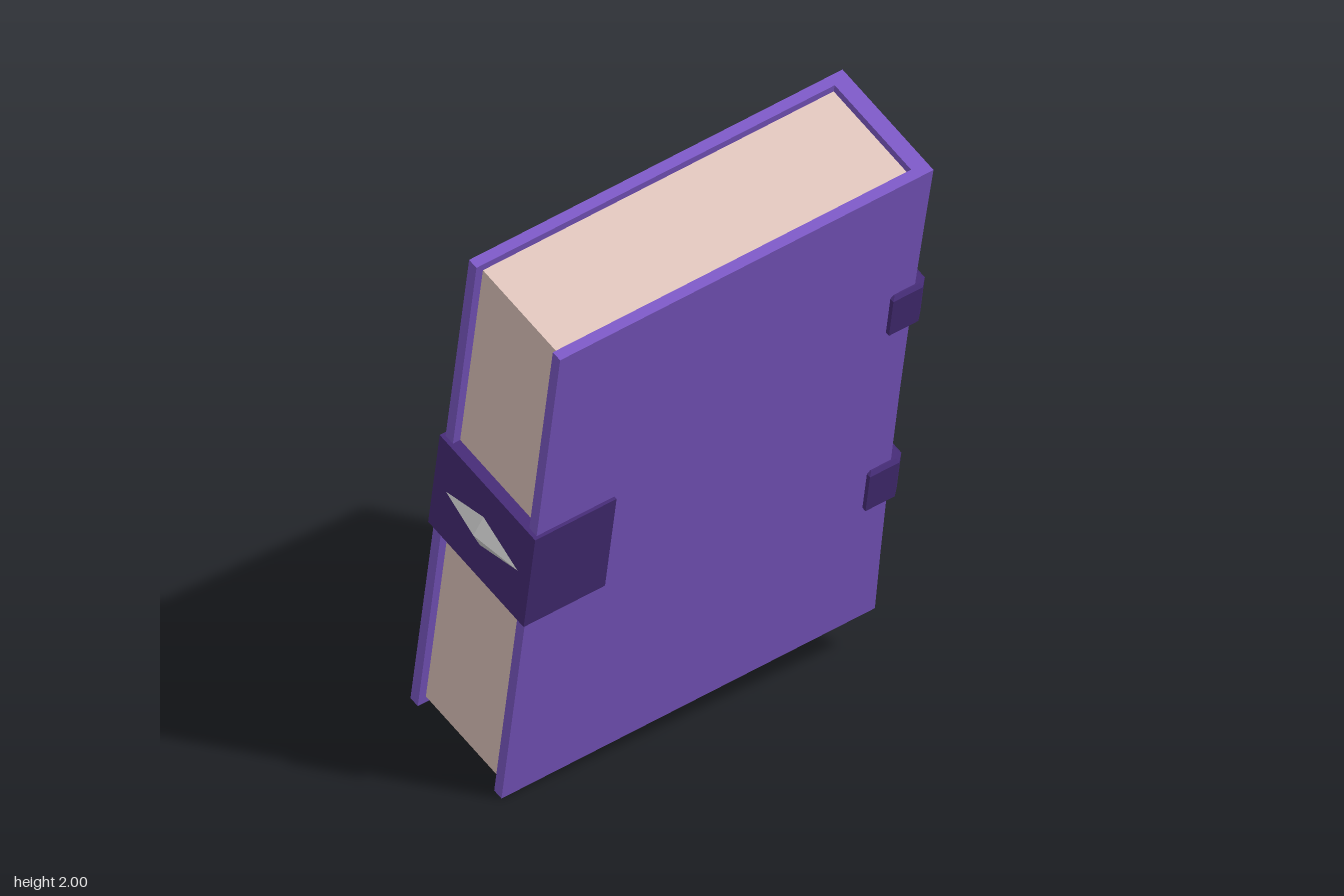
import * as THREE from 'three';

const purple = new THREE.MeshStandardMaterial({ color: 0x7a57c2 });
const dark = new THREE.MeshStandardMaterial({ color: 0x442b74 });
const paper = new THREE.MeshStandardMaterial({ color: 0xddc2ba });
const grey = new THREE.MeshStandardMaterial({ color: 0xcccccc, flatShading: true });

// Book size in its own frame: x thickness, y height, z from spine (-) to fore edge (+)
const X = 0.205, Y = 0.91, Z = 0.617;

// Outline given as [x, z] pairs, extruded along y and centred on y = 0
function slab(outline, height, steps = 1, bevel = 0) {
  const shape = new THREE.Shape(outline.map(([x, z]) => new THREE.Vector2(x, -z)));
  const geo = new THREE.ExtrudeGeometry(shape, {
    depth: height - 2 * bevel, steps, bevelEnabled: bevel > 0,
    bevelThickness: bevel, bevelSize: bevel, bevelOffset: -bevel, bevelSegments: 1,
  });
  geo.translate(0, 0, -height / 2 + bevel);
  return geo.rotateX(-Math.PI / 2);
}

function rectangle(Type, w, h) {
  return new Type([[-w, -h], [w, -h], [w, h], [-w, h]].map(([a, b]) => new THREE.Vector2(a, b)));
}

export function createModel() {
  const model = new THREE.Group();
  const book = new THREE.Group();
  book.name = 'book';
  model.add(book);

  const add = (name, geo, mat, x = 0, y = 0, z = 0) => {
    const mesh = new THREE.Mesh(geo, mat);
    mesh.name = name;
    mesh.position.set(x, y, z);
    book.add(mesh);
    return mesh;
  };

  // Covers and spine as one U, with the spine slightly hollow along its height
  const t = 0.033;
  const cover = slab([
    [-X, Z], [-X, -Z], [X, -Z], [X, Z],
    [X - t, Z], [X - t, -Z + 0.05], [-X + t, -Z + 0.05], [-X + t, Z],
  ], 2 * Y, 8);
  const p = cover.attributes.position;
  for (let i = 0; i < p.count; i++) {
    if (p.getZ(i) < 0) p.setZ(i, p.getZ(i) + 0.015 * (1 - (p.getY(i) / Y) ** 2));
  }
  cover.computeVertexNormals();
  add('cover', cover, purple);

  // Page block, recessed from the cover edges
  add('pages', new THREE.BoxGeometry(2 * (X - t) + 0.004, 2 * Y - 0.05, 1.17), paper, 0, 0, 0.008);

  // Two chamfered bands around the spine
  const o = X + 0.014, back = -Z - 0.03, c = 0.025;
  for (const y of [-0.364, 0.364]) {
    add('spineBand', slab([
      [-o, -0.525], [-o, back + c], [-o + c, back], [o - c, back], [o, back + c], [o, -0.525],
      [X - 0.02, -0.525], [X - 0.02, -Z + 0.03], [-X + 0.02, -Z + 0.03], [-X + 0.02, -0.525],
    ], 0.16, 1, 0.01), dark, 0, y, 0);
  }

  // Clasp wrapped around the fore edge
  const k = X + 0.01;
  add('clasp', slab([
    [-k, 0.37], [-X + 0.01, 0.37], [-X + 0.01, Z - 0.03], [X - 0.01, Z - 0.03],
    [X - 0.01, 0.36], [k, 0.36], [k, Z + 0.012], [-k, Z + 0.012],
  ], 0.36), dark);

  // Rectangular frame on the front cover
  const frame = rectangle(THREE.Shape, 0.39, 0.66);
  frame.holes.push(rectangle(THREE.Path, 0.255, 0.475));
  const frameGeo = new THREE.ExtrudeGeometry(frame, {
    depth: 0.02, bevelEnabled: true, bevelThickness: 0.008, bevelSize: 0.008, bevelOffset: -0.008, bevelSegments: 1,
  });
  add('coverFrame', frameGeo.rotateY(-Math.PI / 2), dark, -X + 0.01);

  // Faceted gems on the cover and the clasp
  const gem = new THREE.OctahedronGeometry(1);
  add('coverGem', gem, grey, -X).scale.set(0.062, 0.44, 0.24);
  add('claspGem', gem, grey, 0, 0, Z + 0.01).scale.set(0.173, 0.062, 0.03);

  // Tilt the whole book
  const up = new THREE.Vector3(0.315, 0.939, 0.133).normalize();
  const fore = new THREE.Vector3(-0.024, -0.126, 0.992);
  const side = new THREE.Vector3().crossVectors(up, fore).normalize();
  fore.crossVectors(side, up);
  book.quaternion.setFromRotationMatrix(new THREE.Matrix4().makeBasis(side, up, fore));
  book.position.set(0, 1, 0);
  return model;
}
